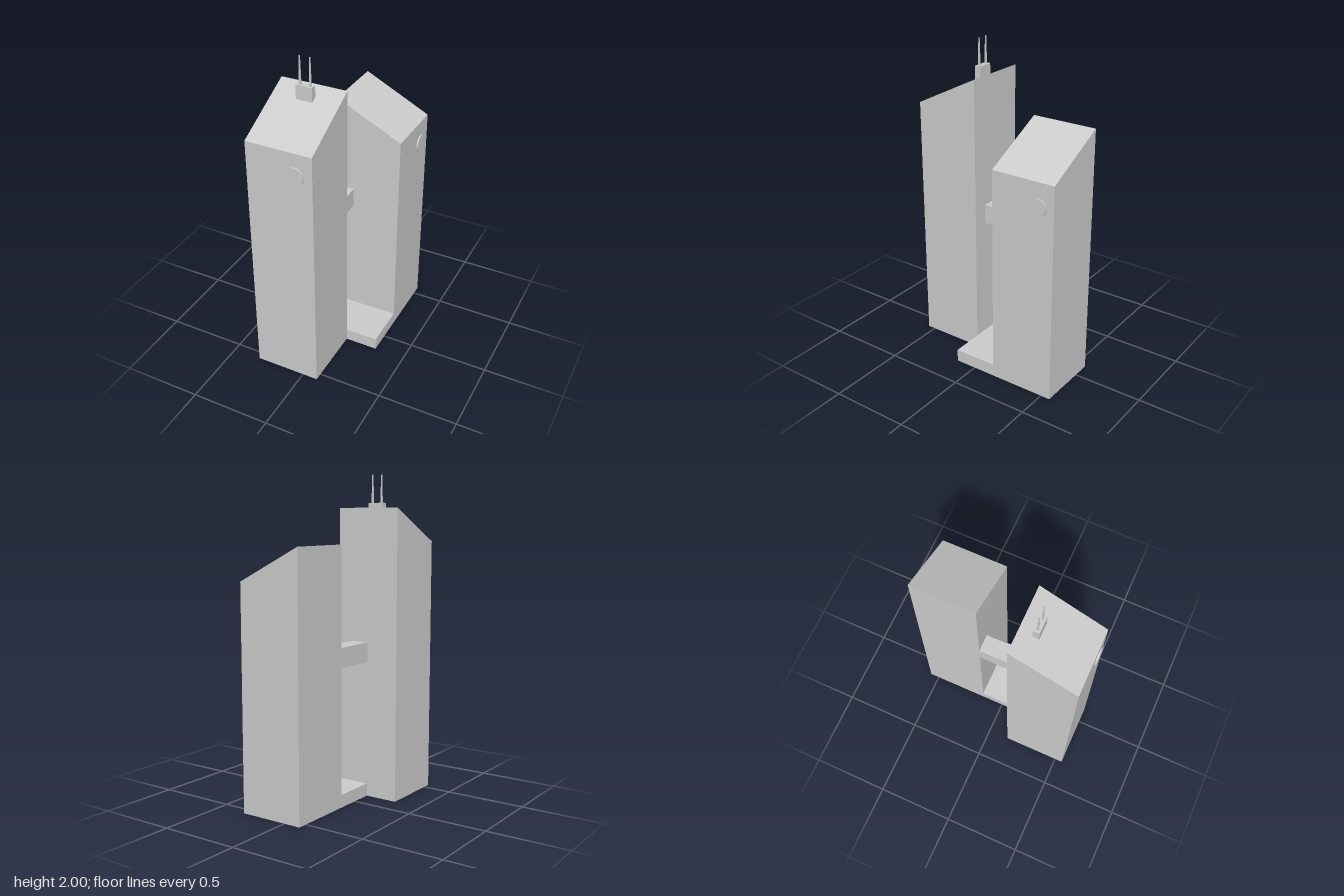
import * as THREE from 'three';

const material = new THREE.MeshStandardMaterial({ color: 0xcccccc, side: THREE.DoubleSide });

function add(parent, name, geometry, x = 0, y = 0, z = 0) {
  const mesh = new THREE.Mesh(geometry, material);
  mesh.name = name;
  mesh.position.set(x, y, z);
  parent.add(mesh);
  return mesh;
}

// Hollow block standing on the ground, open underneath; roof(x, z) gives the height of each top corner
function shell(x0, x1, z0, z1, roof) {
  const g = new THREE.BoxGeometry(x1 - x0, 1, z1 - z0);
  g.translate((x0 + x1) / 2, 0.5, (z0 + z1) / 2);
  const p = g.attributes.position;
  for (let i = 0; i < p.count; i++) {
    if (p.getY(i) > 0.5) p.setY(i, roof(p.getX(i), p.getZ(i)));
  }
  // drop the bottom face (fourth side of the box)
  const index = Array.from(g.index.array);
  index.splice(18, 6);
  g.setIndex(index);
  g.clearGroups();
  g.computeVertexNormals();
  return g;
}

export function createModel() {
  const model = new THREE.Group();
  model.name = 'twinTowers';

  // Towers with single-slope roofs
  add(model, 'tallTower', shell(-0.318, 0.097, 0.135, 0.55, (x, z) => (z > 0.3 ? 1.592 : 1.8)));
  add(model, 'shortTower', shell(-0.11, 0.306, -0.56, -0.145, (x) => (x > 0 ? 1.38 : 1.588)));

  // Low plinth and high walkway joining the towers
  add(model, 'plinth', shell(-0.11, 0.306, -0.145, 0.135, () => 0.08));
  add(model, 'skyBridge', new THREE.BoxGeometry(0.112, 0.122, 0.28), -0.054, 0.919, -0.005);

  // Round plaques near the tower tops
  const disc = new THREE.CylinderGeometry(0.057, 0.057, 0.01, 32);
  add(model, 'frontPlaque', disc, -0.012, 1.45, 0.555).rotation.x = Math.PI / 2;
  add(model, 'sidePlaque', disc, 0.31, 1.23, -0.453).rotation.z = -Math.PI / 2;

  // Rooftop housing with two tapered masts
  const antenna = new THREE.Group();
  antenna.name = 'antenna';
  model.add(antenna);
  add(antenna, 'housing', new THREE.BoxGeometry(0.102, 0.09, 0.038), -0.113, 1.785, 0.23);
  const mast = new THREE.CylinderGeometry(0.004, 0.008, 0.17, 4).toNonIndexed();
  mast.rotateY(Math.PI / 4);
  mast.computeVertexNormals();
  for (const x of [-0.145, -0.081]) add(antenna, 'mast', mast, x, 1.915, 0.23);

  return model;
}
